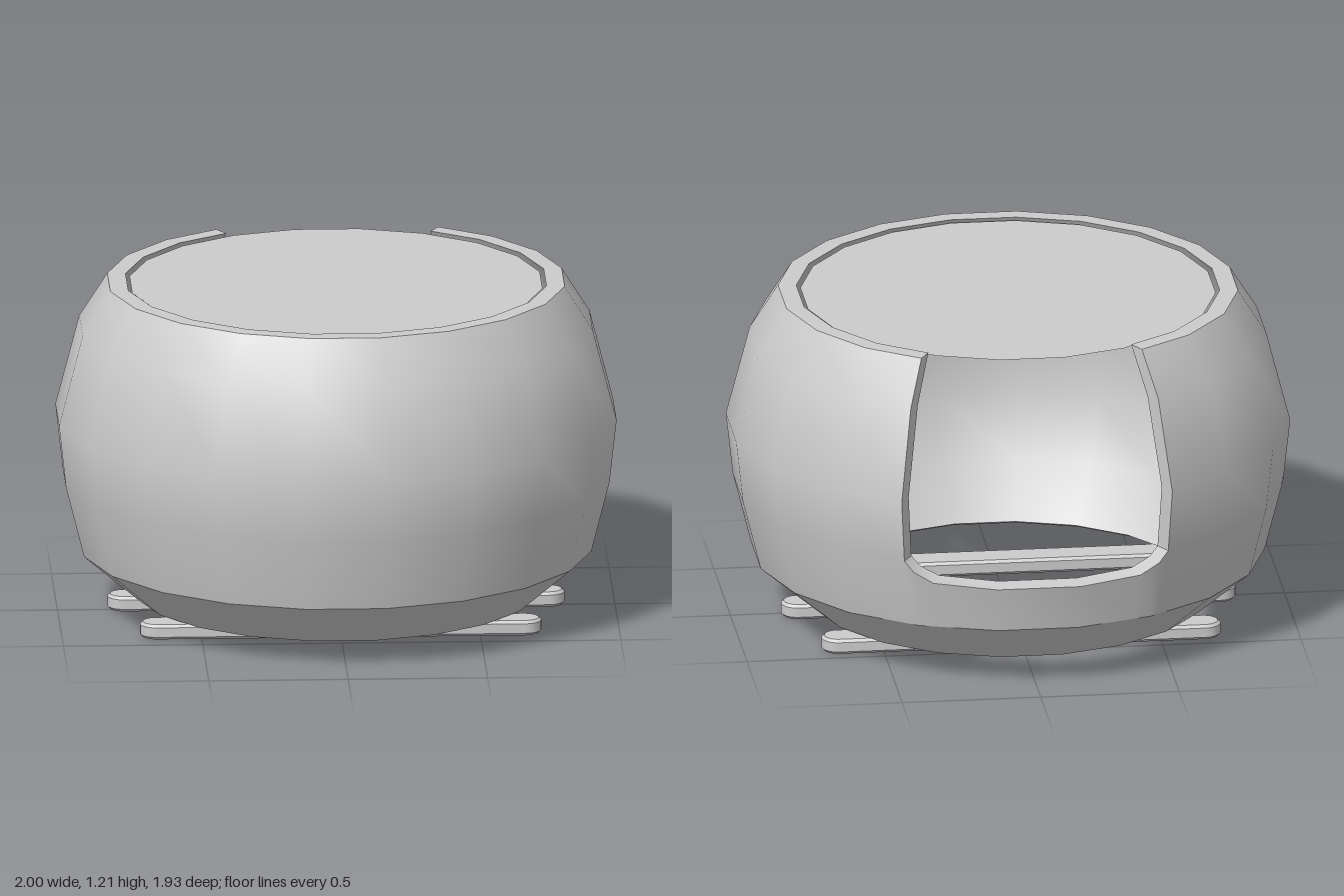
import * as THREE from 'three';
import { toCreasedNormals } from 'three/addons/utils/BufferGeometryUtils.js';

const SIDES = 20, STEP = 360 / SIDES, CENTRE_Z = -0.017;

// wall profile: outer y, outer radius, inner y, inner radius (radii to the flat sides)
const PROFILE = [
  [0.06, 0.715, 0.075, 0.685],
  [0.23, 0.91, 0.26, 0.845],
  [0.49, 0.975, 0.49, 0.91],
  [0.72, 1.0, 0.72, 0.935],
  [1.05, 0.915, 1.04, 0.85],
  [1.21, 0.815, 1.21, 0.75],
];

// point on a 20-sided ring; degrees run from the back towards +x
function ringPoint(deg, y, r) {
  const off = deg - STEP * Math.round(deg / STEP);
  const a = THREE.MathUtils.degToRad(deg);
  const R = r / Math.cos(THREE.MathUtils.degToRad(off));
  return [R * Math.sin(a), y, -R * Math.cos(a) * 0.99];
}

// closed cross-section of the wall: up the outside, down the inside
function section(deg, rows) {
  const outer = rows.map((p) => ringPoint(deg, p[0], p[1]));
  const inner = rows.map((p) => ringPoint(deg, p[2], p[3]));
  return [...outer, ...inner.reverse()];
}

function quad(out, a, b, c, d) {
  out.push(...a, ...b, ...c, ...a, ...c, ...d);
}

function sweep(out, sections) {
  const n = sections[0].length;
  for (let i = 0; i + 1 < sections.length; i++) {
    const s = sections[i], t = sections[i + 1];
    for (let j = 0; j < n; j++) {
      const k = (j + 1) % n;
      quad(out, s[j], s[k], t[k], t[j]);
    }
  }
}

function wallGeometry() {
  const pos = [];
  const edge = 29; // half angle of the rear opening

  // full-height wall around the front and sides
  const degs = [edge];
  for (let d = 45; d <= 315; d += STEP) degs.push(d);
  degs.push(360 - edge);
  const wall = degs.map((d) => section(d, PROFILE));
  sweep(pos, wall);

  // end faces beside the opening, above the sill
  const n = PROFILE.length, last = wall.length - 1;
  for (let j = 2; j + 1 < n; j++) {
    const i = 2 * n - 1 - j;
    const s = wall[0], e = wall[last];
    quad(pos, s[j], s[i], s[i - 1], s[j + 1]);
    quad(pos, e[j], e[j + 1], e[i - 1], e[i]);
  }

  // low sill under the opening, with raised corners
  const sill = [[-edge, 0.49], [-27, 0.45], [-23, 0.41], [-9, 0.4],
    [9, 0.4], [23, 0.41], [27, 0.45], [edge, 0.49]];
  sweep(pos, sill.map(([d, y]) => {
    const t = (y - 0.23) / 0.26;
    const top = PROFILE[1].map((v, k) => THREE.MathUtils.lerp(v, PROFILE[2][k], t));
    return section(d, [PROFILE[0], PROFILE[1], top]);
  }));

  const g = new THREE.BufferGeometry();
  g.setAttribute('position', new THREE.Float32BufferAttribute(pos, 3));
  return toCreasedNormals(g, THREE.MathUtils.degToRad(31));
}

// flat bar with rounded ends and a small bevel, lying along x
function slatGeometry(halfLength) {
  const bevel = 0.01, r = 0.06 - bevel, c = halfLength - 0.06;
  const shape = new THREE.Shape();
  shape.absarc(c, 0, r, -Math.PI / 2, Math.PI / 2, false);
  shape.absarc(-c, 0, r, Math.PI / 2, Math.PI * 1.5, false);
  const g = new THREE.ExtrudeGeometry(shape, {
    depth: 0.055 - 2 * bevel, bevelThickness: bevel, bevelSize: bevel,
    bevelSegments: 1, curveSegments: 6,
  });
  g.rotateX(-Math.PI / 2).translate(0, bevel, 0);
  return toCreasedNormals(g, 0.6);
}

export function createModel() {
  const model = new THREE.Group();
  const grey = new THREE.MeshStandardMaterial({ color: 0xcccccc });
  const thin = new THREE.MeshStandardMaterial({ color: 0xcccccc, side: THREE.DoubleSide });
  const add = (name, geometry, material, y, z) => {
    const mesh = new THREE.Mesh(geometry, material);
    mesh.name = name;
    mesh.position.set(0, y, z);
    model.add(mesh);
  };

  add('bowlWall', wallGeometry(), grey, 0, CENTRE_Z);

  // thin lid set just inside the rim
  const lid = new THREE.CircleGeometry(0.745, SIDES, Math.PI / SIDES);
  lid.rotateX(-Math.PI / 2);
  add('lid', lid, thin, 1.2, CENTRE_Z);

  // three slats across the open bottom
  [[0.37, 0.72, 'frontSlat'], [-0.02, 0.82, 'middleSlat'], [-0.405, 0.72, 'backSlat']]
    .forEach(([z, half, name]) => add(name, slatGeometry(half), grey, 0, z));

  return model;
}
